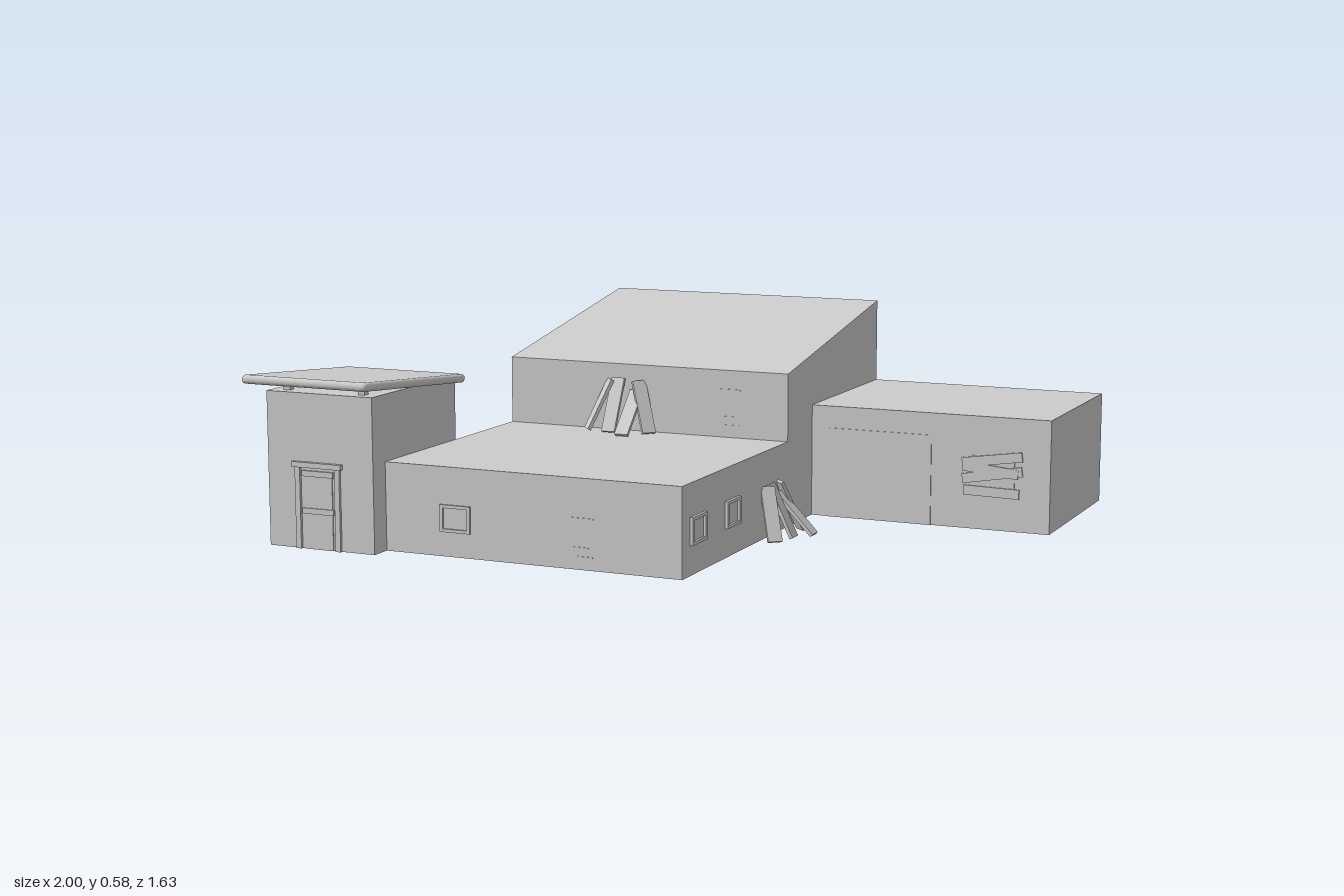
import * as THREE from 'three';
import { RoundedBoxGeometry } from 'three/addons/geometries/RoundedBoxGeometry.js';

const grey = new THREE.MeshStandardMaterial({ color: 0xcccccc, flatShading: true });

function add(parent, name, geometry, x = 0, y = 0, z = 0) {
  const mesh = new THREE.Mesh(geometry, grey);
  mesh.name = name;
  mesh.position.set(x, y, z);
  parent.add(mesh);
  return mesh;
}

// Box given by its lower and upper corners
function block(parent, name, [x0, y0, z0], [x1, y1, z1]) {
  return add(parent, name, new THREE.BoxGeometry(x1 - x0, y1 - y0, z1 - z0),
    (x0 + x1) / 2, (y0 + y1) / 2, (z0 + z1) / 2);
}

// Side profile of (z, y) points swept from x0 to x1
function sweep(parent, name, points, x0, x1) {
  const shape = new THREE.Shape(points.map(([z, y]) => new THREE.Vector2(z, y)));
  const geometry = new THREE.ExtrudeGeometry(shape, { depth: x1 - x0, bevelEnabled: false });
  geometry.rotateY(-Math.PI / 2);
  return add(parent, name, geometry, x1, 0, 0);
}

// Square frame with a pane, facing +z
function makeWindow(parent, name, x, y, z, turn = 0) {
  const group = new THREE.Group();
  group.name = name;
  const rect = (s, w, h) => s.moveTo(-w, -h).lineTo(w, -h).lineTo(w, h).lineTo(-w, h).closePath();
  const shape = rect(new THREE.Shape(), 0.047, 0.038);
  shape.holes.push(rect(new THREE.Path(), 0.037, 0.029));
  add(group, 'windowFrame', new THREE.ExtrudeGeometry(shape, { depth: 0.01, bevelEnabled: false }));
  add(group, 'windowPane', new THREE.BoxGeometry(0.076, 0.06, 0.004), 0, 0, 0.001);
  group.position.set(x, y, z);
  group.rotation.y = turn;
  parent.add(group);
}

// Four planks leaning on a wall that faces +z
function plankPile(parent, name, x, y, z, turn = 0) {
  const group = new THREE.Group();
  group.name = name;
  const planks = [ // foot x, foot z, top x, top z, top y
    [-0.1, 0.055, -0.045, 0.008, 0.155],
    [-0.02, 0.08, -0.02, 0.008, 0.16],
    [0.04, 0.118, 0.04, 0.008, 0.125],
    [0.1, 0.055, 0.045, 0.008, 0.155],
  ];
  for (const [fx, fz, tx, tz, ty] of planks) {
    const foot = new THREE.Vector3(fx, 0.005, fz);
    const top = new THREE.Vector3(tx, ty - 0.005, tz);
    const run = Math.hypot(tx - fx, tz - fz);
    const plank = add(group, 'leaningPlank',
      new THREE.BoxGeometry(0.042, foot.distanceTo(top), 0.01));
    plank.position.addVectors(foot, top).multiplyScalar(0.5);
    plank.rotation.order = 'YXZ';
    plank.rotation.y = Math.atan2(fx - tx, fz - tz);
    plank.rotation.x = -Math.atan2(run, top.y - foot.y);
  }
  group.position.set(x, y, z);
  group.rotation.y = turn;
  parent.add(group);
}

// Thin cracks in a wall facing +z
function wallCracks(parent, x, y, z) {
  for (const [dx, dy, w] of [[0, 0.05, 0.07], [-0.005, -0.03, 0.05], [0.01, -0.055, 0.045]]) {
    add(parent, 'wallCrack', new THREE.BoxGeometry(w, 0.004, 0.006), x + dx, y + dy, z);
  }
}

export function createModel() {
  const model = new THREE.Group();
  model.name = 'abandonedBuilding';

  // Main hall: low front, tall back with a sloping roof
  sweep(model, 'mainHall', [[0.685, 0], [0.685, 0.25], [-0.06, 0.25], [-0.06, 0.447],
    [-0.815, 0.58], [-0.815, 0]], -0.62, 0.275);
  block(model, 'sideWing', [0.275, 0, -0.815], [1, 0.33, -0.255]);

  // Entrance tower with a tilted rounded roof slab on short posts
  sweep(model, 'entranceTower', [[0.75, 0], [0.75, 0.437], [0.45, 0.437], [0.29, 0.425],
    [0.29, 0]], -0.957, -0.62);
  const roof = add(model, 'entranceRoof', new RoundedBoxGeometry(0.4, 0.025, 0.556, 3, 0.012),
    -0.8, 0.45, 0.535);
  roof.rotation.x = -Math.atan2(0.048, 0.55);
  for (const x of [-0.91, -0.67]) {
    block(model, 'roofPost', [x - 0.01, 0.43, 0.7], [x + 0.01, 0.46, 0.72]);
  }

  // Entrance door
  const door = new THREE.Group();
  door.name = 'entranceDoor';
  model.add(door);
  block(door, 'doorLintel', [-0.875, 0.23, 0.745], [-0.717, 0.245, 0.762]);
  for (const x of [-0.867, -0.74]) {
    block(door, 'doorJamb', [x, 0, 0.745], [x + 0.016, 0.23, 0.758]);
  }
  block(door, 'doorLeaf', [-0.842, 0, 0.745], [-0.75, 0.22, 0.753]);
  for (const y of [0.1, 0.205]) {
    block(door, 'doorRail', [-0.845, y, 0.745], [-0.745, y + 0.016, 0.757]);
  }

  // Windows
  makeWindow(model, 'frontWindow', -0.402, 0.107, 0.681);
  for (const z of [0.587, 0.353]) {
    makeWindow(model, 'sideWindow', 0.274, 0.12, z, Math.PI / 2);
  }

  // Large door and boarded window of the wing
  block(model, 'wingDoor', [0.33, 0, -0.26], [0.645, 0.265, -0.252]);
  block(model, 'boardedOpening', [0.765, 0.1, -0.26], [0.895, 0.215, -0.253]);
  const boards = [[0.828, 0.112, -0.02, 0.165], [0.83, 0.162, 0.17, 0.18], [0.825, 0.176, -0.1, 0.165],
    [0.83, 0.207, 0.15, 0.18]];
  boards.forEach(([x, y, tilt, length], i) => {
    const board = add(model, 'nailedBoard', new THREE.BoxGeometry(length, 0.028, 0.005),
      x, y, -0.25 + 0.001 * i);
    board.rotation.z = tilt;
  });

  // Loose planks and cracks
  plankPile(model, 'upperPlanks', -0.24, 0.25, -0.06);
  plankPile(model, 'lowerPlanks', 0.275, 0, 0.07, Math.PI / 2);
  wallCracks(model, -0.018, 0.09, 0.684);
  wallCracks(model, 0.092, 0.34, -0.061);

  return model;
}
